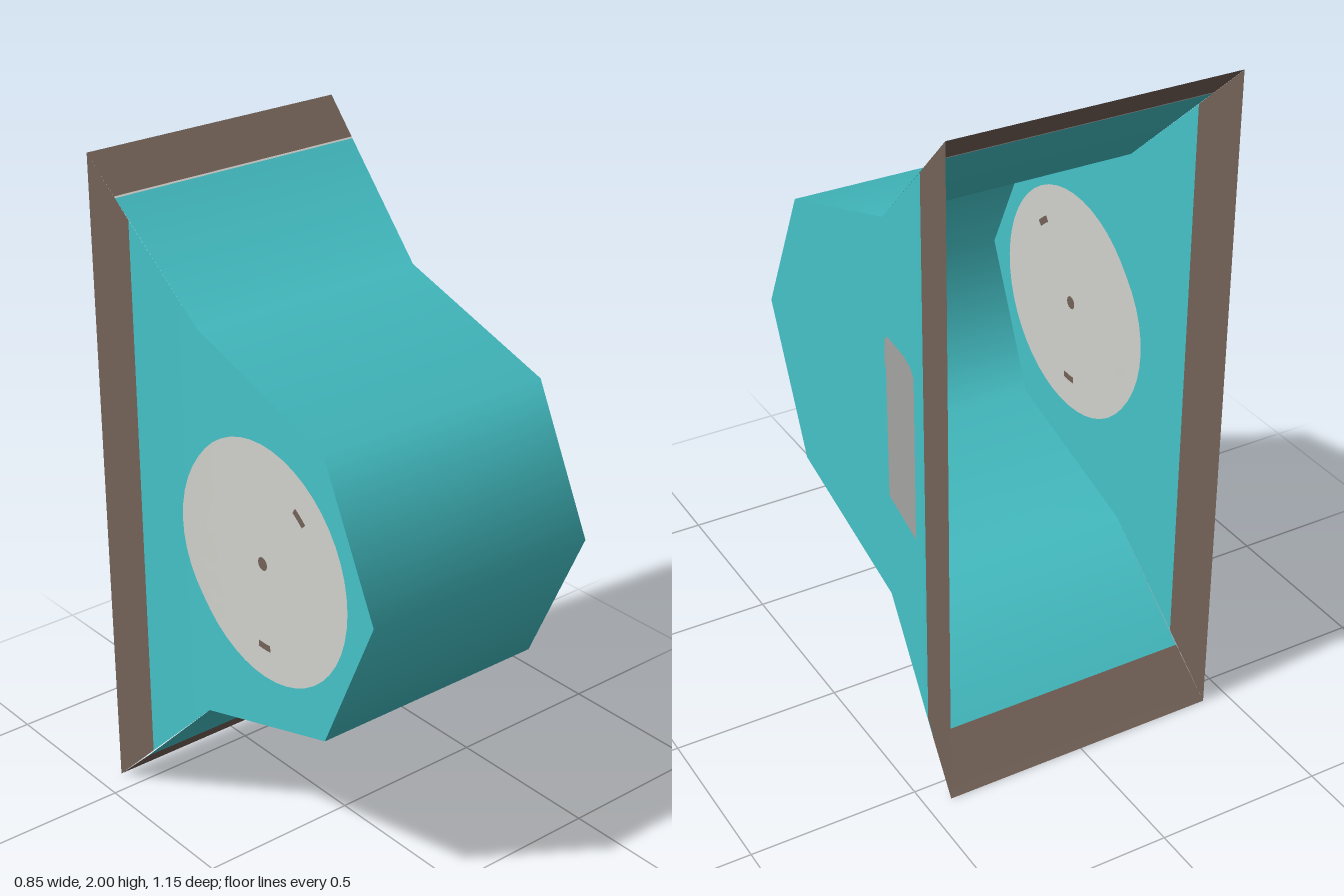
import * as THREE from 'three';

const mat = (name, color) => {
  const m = new THREE.MeshStandardMaterial({ color, side: THREE.DoubleSide });
  m.name = name;
  return m;
};

// Half width of the hood: straight at the front, flaring towards the open back
const halfWidth = z => (z > -0.155 ? 0.38 : 0.38 + ((-0.155 - z) / 0.42) * 0.045);

// Ribbon between two rows of points; one material index per span
function ribbon(rowA, rowB, spans) {
  const g = new THREE.BufferGeometry();
  const pos = [], index = [];
  rowA.forEach((a, i) => pos.push(...a, ...rowB[i]));
  spans.forEach((m, i) => {
    const a = i * 2;
    index.push(a, a + 2, a + 1, a + 1, a + 2, a + 3);
    g.addGroup(i * 6, 6, m);
  });
  g.setAttribute('position', new THREE.Float32BufferAttribute(pos, 3));
  g.setIndex(index);
  g.computeVertexNormals();
  // Share one normal across the ribbon so the shading runs straight
  const n = g.attributes.normal;
  const a = new THREE.Vector3(), b = new THREE.Vector3();
  for (let i = 0; i < n.count; i += 2) {
    a.fromBufferAttribute(n, i).add(b.fromBufferAttribute(n, i + 1)).normalize();
    n.setXYZ(i, a.x, a.y, a.z);
    n.setXYZ(i + 1, a.x, a.y, a.z);
  }
  return g;
}

// Lay a flat geometry drawn in (z, y) onto a side wall
function layOnSide(geometry, side, offset) {
  const p = geometry.attributes.position;
  for (let i = 0; i < p.count; i++) {
    const z = p.getX(i), y = p.getY(i);
    p.setXYZ(i, side * (halfWidth(z) + offset), y, z);
  }
  // Order corners so the face points away from the wall
  if (side * offset > 0) {
    const ix = geometry.index;
    for (let i = 0; i < ix.count; i += 3) {
      const b = ix.getX(i + 1);
      ix.setX(i + 1, ix.getX(i + 2));
      ix.setX(i + 2, b);
    }
  }
  geometry.computeVertexNormals();
  return geometry;
}

export function createModel() {
  const group = new THREE.Group();
  const teal = mat('teal', 0x45c2c7);
  const brown = mat('brown', 0x746258);
  const panelGrey = mat('panelGrey', 0xa4a4a2);
  const discGrey = mat('discGrey', 0xd0d0cb);
  const shell = [teal, brown, discGrey];

  const add = (name, geometry, material) => {
    const mesh = new THREE.Mesh(geometry, material);
    mesh.name = name;
    group.add(mesh);
  };

  // Curved front cover, from top rim to bottom rim as [y, z]
  const profile = [
    [2, -0.575], [1.902, -0.47], [1.898, -0.466], [1.61, -0.155], [1.435, 0.375],
    [1.02, 0.575], [0.58, 0.375], [0.42, -0.155], [0.125, -0.445], [0, -0.575],
  ];
  const edge = side => profile.map(([y, z]) => [side * halfWidth(z), y, z]);
  add('frontCover', ribbon(edge(-1), edge(1), [1, 2, 0, 0, 0, 0, 0, 0, 1]), shell);

  // Side walls as [z, low y, high y], with a brown rim at the back
  const stations = [
    [-0.575, 0, 2], [-0.415, 0.16, 1.85], [-0.155, 0.42, 1.61],
    [0.375, 0.58, 1.435], [0.575, 1.02, 1.02],
  ];
  for (const side of [-1, 1]) {
    const low = stations.map(([z, a]) => [side * halfWidth(z), a, z]);
    const high = stations.map(([z, , b]) => [side * halfWidth(z), b, z]);
    const rows = side > 0 ? [high, low] : [low, high];
    add(side > 0 ? 'leftWall' : 'rightWall', ribbon(...rows, [1, 0, 0, 0]), shell);
  }

  // Painted details, on the outer and inner face of each wall
  for (const face of [1, -1]) {
    const place = face > 0 ? 'outer' : 'inner';

    // Label panel on the left wall
    const panel = new THREE.Shape([
      [-0.165, 0.76], [-0.355, 0.735], [-0.358, 1.24], [-0.335, 1.262],
      [-0.29, 1.272], [-0.175, 1.27], [-0.157, 1.25], [-0.155, 1.18], [-0.163, 1.16],
    ].map(([z, y]) => new THREE.Vector2(z, y)));
    add(place + 'Panel', layOnSide(new THREE.ShapeGeometry(panel), 1, face * 0.003), panelGrey);

    // Round disc on the right wall with a hub dot and two small marks
    const onDisc = (name, geometry, offset, material) => {
      geometry.translate(0.12, 1.02, 0);
      add(place + name, layOnSide(geometry, -1, face * offset), material);
    };
    onDisc('Disc', new THREE.RingGeometry(0.001, 0.355, 48, 10), 0.004, discGrey);
    onDisc('DiscHub', new THREE.CircleGeometry(0.02, 12), 0.006, brown);
    for (const angle of [0.8, 4.62]) {
      onDisc('DiscMark', new THREE.RingGeometry(0.246, 0.266, 6, 1, angle, 0.2), 0.006, brown);
    }
  }
  return group;
}
